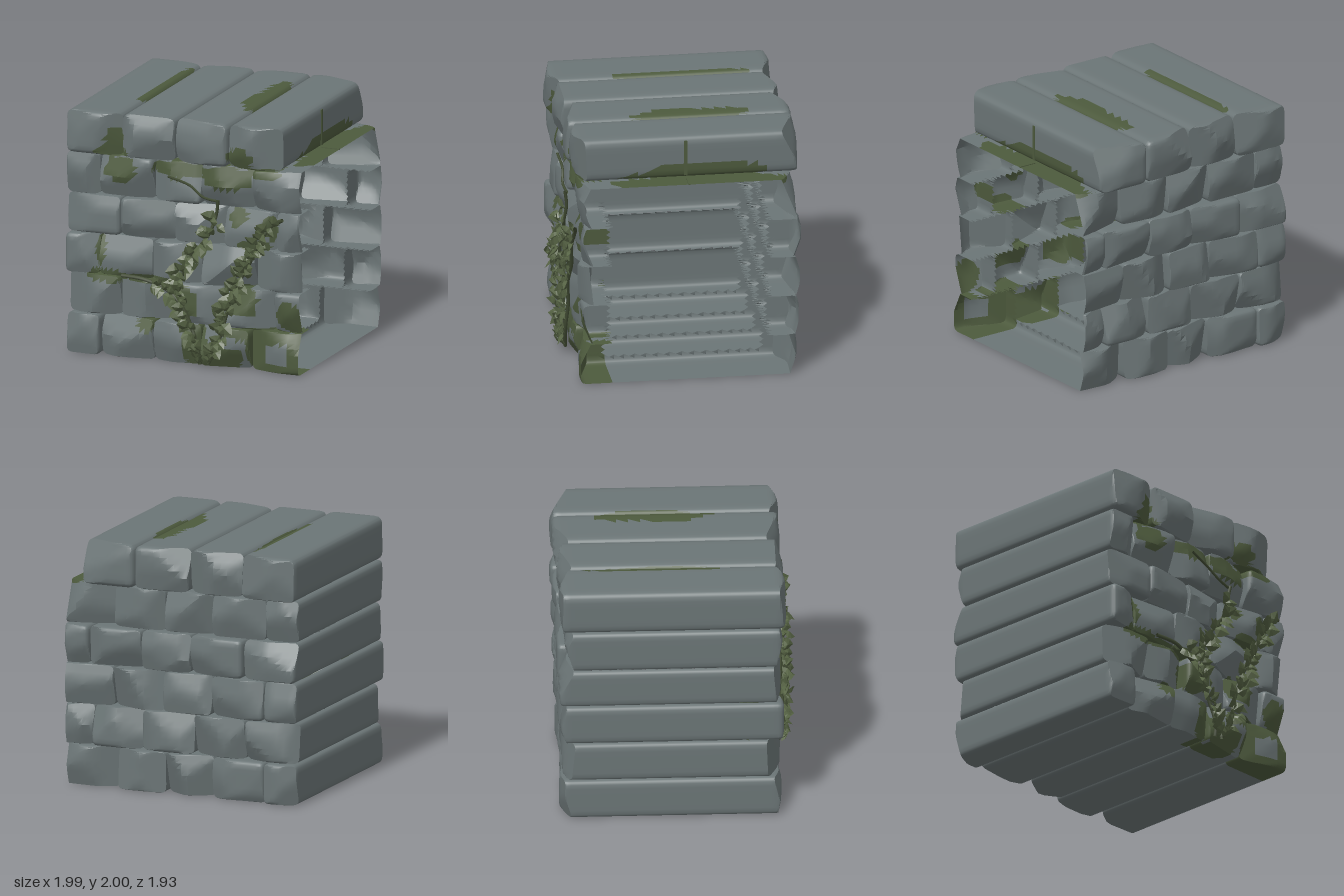
import * as THREE from 'three';
import { toCreasedNormals } from 'three/addons/utils/BufferGeometryUtils.js';

let seed = 11;
const rnd = () => {
  seed = (seed * 16807) % 2147483647;
  return seed / 2147483647;
};
const range = (a, b) => a + (b - a) * rnd();

const material = (name, color) => {
  const m = new THREE.MeshStandardMaterial({ color, side: THREE.DoubleSide });
  m.name = name;
  return m;
};

// Courses from the ground up: bottom, top, back, front and joints along x
const COURSES = [
  [0.0, 0.33, -0.97, 0.8, [-0.99, -0.71, -0.25, 0.15, 0.57, 1]],
  [0.335, 0.66, -0.965, 0.79, [-0.99, -0.54, -0.09, 0.35, 0.78, 1]],
  [0.665, 0.99, -0.98, 0.81, [-0.99, -0.71, -0.25, 0.16, 0.6, 1]],
  [0.995, 1.31, -0.98, 0.8, [-0.985, -0.53, -0.07, 0.35, 0.8, 1]],
  [1.315, 1.65, -0.95, 0.8, [-0.985, -0.71, -0.25, 0.16, 0.6, 1]],
  [1.65, 2.0, -0.99, 0.84, [-0.98, -0.51, -0.06, 0.4, 0.85]],
];

// Moss patches on the front: x, y, radius x, radius y
const FRONT_MOSS = [
  [-0.58, 1.78, 0.08, 0.09], [-0.6, 1.68, 0.13, 0.05], [-0.52, 1.54, 0.14, 0.1],
  [-0.03, 1.58, 0.23, 0.07], [0.37, 1.55, 0.2, 0.1], [0.68, 1.62, 0.16, 0.05],
  [0.5, 1.73, 0.11, 0.09], [0.47, 1.24, 0.08, 0.07], [0.6, 1.02, 0.15, 0.05],
  [0.75, 1.18, 0.07, 0.1], [-0.65, 0.66, 0.16, 0.06], [-0.7, 0.86, 0.04, 0.12],
  [-0.3, 0.66, 0.25, 0.04], [0, 0.5, 0.14, 0.14], [0.5, 0.56, 0.14, 0.12],
  [0.68, 0.29, 0.34, 0.06], [0.92, 0.46, 0.12, 0.13], [0.62, 0.13, 0.08, 0.15],
  [0.96, 0.15, 0.06, 0.2], [0.77, 0.03, 0.22, 0.05], [0.1, 0.16, 0.11, 0.17],
  [0.3, 0.08, 0.2, 0.11], [-0.32, 0.29, 0.08, 0.06], [0.05, 0.85, 0.06, 0.1],
];
// Moss on the top and ledge: centre and radii
const TOP_MOSS = [
  [-0.54, 1.97, -0.18, 0.05, 0.15, 0.56], [0.34, 1.97, -0.2, 0.1, 0.15, 0.48],
  [0.85, 1.65, -0.17, 0.06, 0.13, 0.58], [0.95, 1.65, -0.17, 0.16, 0.09, 0.72],
];

function mossy(p) {
  const wobble = 1 + 0.22 * Math.sin(p.x * 31 + p.y * 17) * Math.cos(p.y * 27 - p.z * 9);
  if (p.z > 0.52 && FRONT_MOSS.some(([x, y, rx, ry]) =>
    ((p.x - x) / rx) ** 2 + ((p.y - y) / ry) ** 2 < wobble)) return true;
  return TOP_MOSS.some(([x, y, z, rx, ry, rz]) =>
    ((p.x - x) / rx) ** 2 + ((p.y - y) / ry) ** 2 + ((p.z - z) / rz) ** 2 < wobble);
}

// Rounded block running front to back, with chiselled ends.
// "exposed" tells which surfaces stay between the two ends; the inside is hollow.
function blockGeometry(lo, hi, radius, cut, exposed) {
  const g = new THREE.BoxGeometry(1, 1, 1, 12, 10, 28);
  const pos = g.attributes.position;
  const size = hi.clone().sub(lo), mid = lo.clone().add(hi).multiplyScalar(0.5);
  const innerLo = lo.clone().addScalar(radius), innerHi = hi.clone().subScalar(radius);
  const chips = [];
  for (let i = 0; i < 10; i++) {
    const a = range(0, Math.PI * 2);
    chips.push({ end: i % 2 ? 1 : -1, c: Math.cos(a), s: Math.sin(a), slope: range(0.15, 0.65), k: range(-0.02, 0.12) });
  }
  const p = new THREE.Vector3(), q = new THREE.Vector3();
  for (let i = 0; i < pos.count; i++) {
    p.fromBufferAttribute(pos, i);
    for (const k of ['x', 'y', 'z']) p[k] = mid[k] + size[k] * 0.5 * Math.sin(Math.PI * p[k]);
    q.copy(p).clamp(innerLo, innerHi);
    p.sub(q).setLength(radius).add(q);
    for (const { end, c, s, slope, k } of chips) {
      const drop = slope * Math.max(0, (p.x - mid.x) * c + (p.y - mid.y) * s - k);
      p.z = end > 0 ? Math.min(p.z, hi.z - drop) : Math.max(p.z, lo.z + drop);
    }
    if (cut) p.x = Math.min(p.x, 1);
    pos.setXYZ(i, p.x, p.y, p.z);
  }
  // Sort the faces by colour, leaving out the hollow inside and the open cut
  const stoneFaces = [], mossFaces = [];
  const idx = g.index.array;
  for (let i = 0; i < idx.length; i += 3) {
    const tri = [idx[i], idx[i + 1], idx[i + 2]];
    p.set(0, 0, 0);
    for (const v of tri) p.add(q.fromBufferAttribute(pos, v));
    p.multiplyScalar(1 / 3);
    if (cut && p.x > 0.9995) continue;
    const nearEnd = p.z > hi.z - 0.22 || p.z < lo.z + 0.22;
    if (nearEnd || exposed(p)) (mossy(p) ? mossFaces : stoneFaces).push(...tri);
  }
  g.clearGroups();
  g.deleteAttribute('uv');
  g.setIndex([...stoneFaces, ...mossFaces]);
  g.addGroup(0, stoneFaces.length, 0);
  g.addGroup(stoneFaces.length, mossFaces.length, 1);
  return toCreasedNormals(g, 0.45);
}

// Pointed leaf with a raised midrib; base at the origin, tip towards +y
function leafGeometry() {
  const g = new THREE.BufferGeometry();
  g.setAttribute('position', new THREE.Float32BufferAttribute([
    0, 0, 0, 0.42, 0.3, -0.12, 0.3, 0.65, -0.1, 0, 1, -0.08,
    -0.3, 0.65, -0.1, -0.42, 0.3, -0.12, 0, 0.4, 0.12], 3));
  g.setIndex([0, 1, 6, 1, 2, 6, 2, 3, 6, 3, 4, 6, 4, 5, 6, 5, 0, 6]);
  const flat = g.toNonIndexed();
  flat.computeVertexNormals();
  return flat;
}

// Vine stems on the front: points, radius and number of leaves
const VINES = [
  [[[0.17, 0.01], [0.16, 0.12], [0.09, 0.32], [0, 0.5], [-0.13, 0.6], [-0.3, 0.66], [-0.5, 0.67]], 0.016, 30, 0.78],
  [[[0.24, 0.02], [0.33, 0.2], [0.4, 0.45], [0.47, 0.65], [0.58, 0.85], [0.68, 1.05], [0.78, 1.2], [0.88, 1.26]], 0.016, 58, 0.92],
  [[[-0.02, 0.56], [0.05, 0.8], [0.15, 0.95], [0.26, 1.1], [0.31, 1.25], [0.33, 1.37]], 0.014, 28, 0.85],
  [[[0.33, 1.36], [0.2, 1.39], [0.08, 1.47], [-0.1, 1.53]], 0.011, 0, 0],
];

export function createModel() {
  seed = 11;
  const model = new THREE.Group();
  const stone = material('grey stone', 0x6b7576);
  const moss = material('dark moss', 0x4d5a3d);
  const leafGreen = material('leaf green', 0x566344);
  const stemGreen = material('vine stem', 0x424c34);

  // Stone courses
  COURSES.forEach(([y0, y1, z0, z1, joints], row) => {
    const course = new THREE.Group();
    course.name = `course${row + 1}`;
    const top = row === COURSES.length - 1;
    const radius = top ? 0.055 : 0.042, edge = radius + 0.006;
    for (let i = 0; i < joints.length - 1; i++) {
      const cut = joints[i + 1] >= 1, last = i === joints.length - 2;
      const x0 = joints[i], x1 = cut ? 1.1 : joints[i + 1];
      const lo = new THREE.Vector3(x0, y0, z0 + range(0, 0.02));
      const hi = new THREE.Vector3(x1, y1, z1 - range(0, 0.02));
      const exposed = (p) =>
        (i === 0 && p.x < x0 + edge) || (row === 0 && p.y < y0 + edge) ||
        (row >= 4 && p.y > y1 - edge) || (top && last && p.x > x1 - edge);
      const block = new THREE.Mesh(blockGeometry(lo, hi, radius, cut, exposed), [stone, moss]);
      block.name = `stoneBlock${i + 1}`;
      course.add(block);
    }
    model.add(course);
  });

  // Mossy seams where the end of the top course and the ledge are split
  const addSeam = (name, w, h, d, x, y, z) => {
    const seam = new THREE.Mesh(new THREE.BoxGeometry(w, h, d), moss);
    seam.name = name;
    seam.position.set(x, y, z);
    model.add(seam);
  };
  addSeam('topSeam', 0.008, 0.29, 0.025, 0.852, 1.82, -0.07);
  addSeam('ledgeSeam', 0.15, 0.008, 0.015, 0.925, 1.652, -0.08);

  // Climbing vines
  const leaf = leafGeometry();
  VINES.forEach(([points, radius, count, reach], n) => {
    const vine = new THREE.Group();
    vine.name = `vine${n + 1}`;
    const curve = new THREE.CatmullRomCurve3(points.map(([x, y], i) =>
      new THREE.Vector3(x, y + radius, 0.805 + 0.015 * (i % 2))));
    const stem = new THREE.Mesh(new THREE.TubeGeometry(curve, 36, radius, 5), stemGreen);
    stem.name = 'stem';
    vine.add(stem);
    for (let i = 0; i < count; i++) {
      const t = ((i + 0.5) / count) * reach;
      const at = curve.getPointAt(t), dir = curve.getTangentAt(t);
      const side = i % 2 ? 1 : -1;
      const mesh = new THREE.Mesh(leaf, leafGreen);
      mesh.name = 'leaf';
      const size = range(0.085, 0.135);
      mesh.scale.set(size, size, size);
      mesh.position.set(at.x + side * range(0, 0.035), Math.max(at.y, 0.04), at.z + range(0.005, 0.045));
      const turn = Math.atan2(-dir.x, dir.y) + side * range(0.5, 2.1) + (at.y > 0.2 && rnd() < 0.3 ? Math.PI : 0);
      // Leaves near the ground point upwards
      mesh.rotation.set(range(0.25, 0.95), range(-0.5, 0.5), at.y < 0.15 ? side * range(0.2, 1.2) : turn, 'ZXY');
      vine.add(mesh);
    }
    model.add(vine);
  });
  return model;
}
